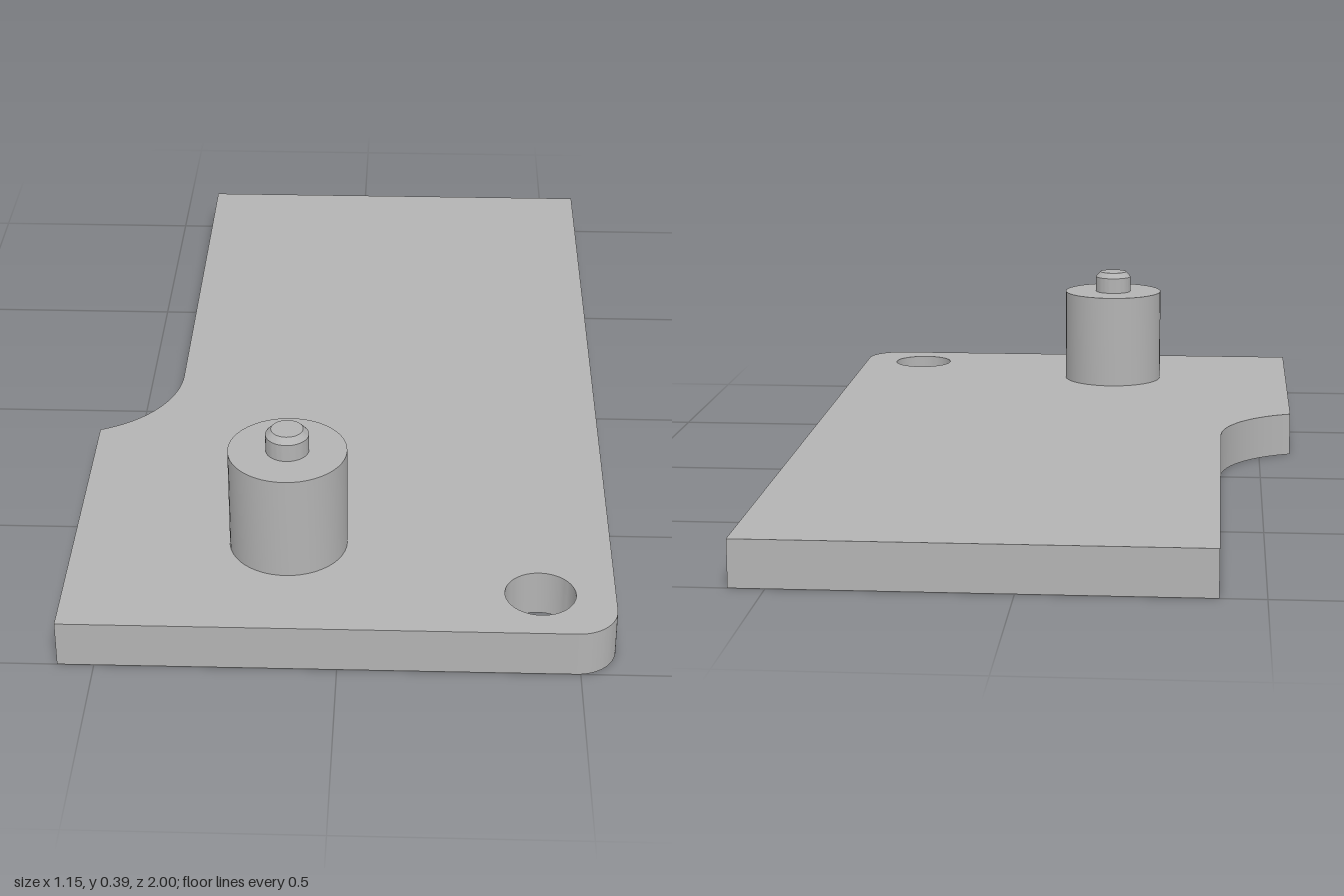
import * as THREE from 'three';
import { toCreasedNormals } from 'three/addons/utils/BufferGeometryUtils.js';

const THICKNESS = 0.102;
const LEFT = 0.576, RIGHT = -0.576, NECK = -0.405;

export function createModel() {
  const group = new THREE.Group();
  group.name = 'mountingPlate';
  const grey = new THREE.MeshStandardMaterial({ color: 0xb3b3b3 });
  grey.name = 'plain grey';

  const add = (name, geometry) => {
    const mesh = new THREE.Mesh(toCreasedNormals(geometry, 0.5), grey);
    mesh.name = name;
    group.add(mesh);
    return mesh;
  };

  // Plate outline, drawn with shape y = -z
  const corner = 0.085, notch = 0.268;
  const outline = new THREE.Shape();
  outline.moveTo(RIGHT, -1);
  outline.lineTo(LEFT - corner, -1);
  outline.absarc(LEFT - corner, -1 + corner, corner, -Math.PI / 2, 0, false);
  outline.lineTo(LEFT, 1);
  outline.lineTo(NECK, 1);
  outline.lineTo(NECK, 0);
  // concave fillet where the plate widens
  const end = -Math.acos((RIGHT - NECK + notch) / notch);
  outline.absarc(NECK - notch, 0, notch, 0, end, true);
  outline.closePath();

  // Round through hole
  const hole = new THREE.Path();
  hole.absarc(0.419, -0.864, 0.074, 0, Math.PI * 2, true);
  outline.holes.push(hole);

  const plate = new THREE.ExtrudeGeometry(outline, {
    depth: THICKNESS, bevelEnabled: false, curveSegments: 24,
  });
  plate.rotateX(-Math.PI / 2);
  add('plate', plate);

  // Turned post and chamfered pin
  const turned = (name, profile) => {
    const points = profile.map(([r, y]) => new THREE.Vector2(r, y));
    add(name, new THREE.LatheGeometry(points, 48)).position.set(-0.114, 0, 0.69);
  };
  turned('post', [[0.126, THICKNESS], [0.126, 0.335], [0, 0.335]]);
  turned('pin', [[0.046, 0.335], [0.046, 0.374], [0.034, 0.387], [0, 0.387]]);

  return group;
}
